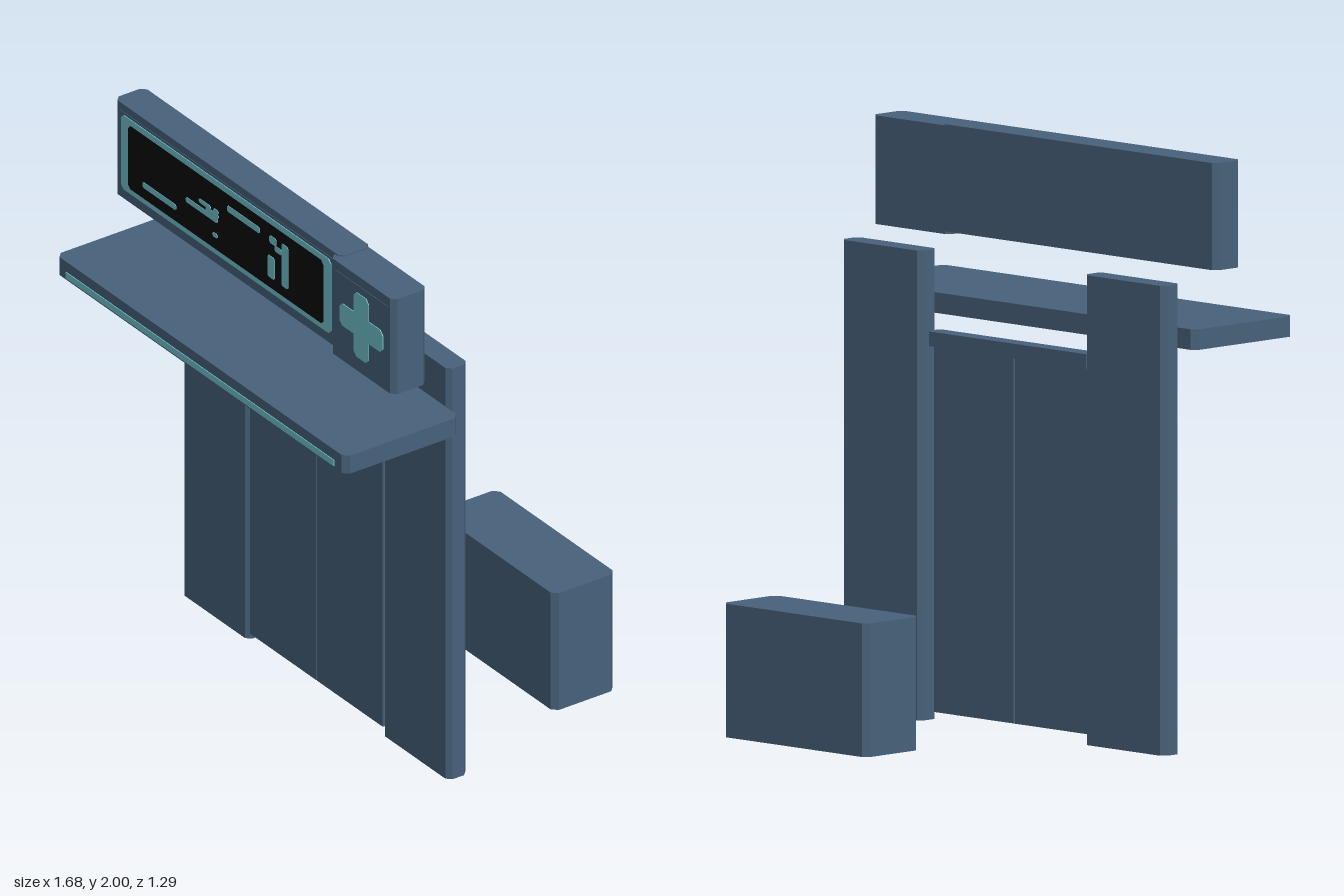
import * as THREE from 'three';

const mat = (name, color) => {
  const m = new THREE.MeshStandardMaterial({ color });
  m.name = name;
  return m;
};

export function createModel() {
  const body = mat('slate blue', 0x47617a);
  const glow = mat('light cyan', 0x70c2ce);
  const black = mat('black', 0x0a0a0a);
  const model = new THREE.Group();

  const add = (name, geometry, material) => {
    const mesh = new THREE.Mesh(geometry, material);
    mesh.name = name;
    model.add(mesh);
    return mesh;
  };

  // Rectangle with cut corners
  const cutRect = (x0, x1, y0, y1, c) => new THREE.Shape([
    [x0 + c, y0], [x1 - c, y0], [x1, y0 + c], [x1, y1 - c],
    [x1 - c, y1], [x0 + c, y1], [x0, y1 - c], [x0, y0 + c],
  ].map(([x, y]) => new THREE.Vector2(x, y)));

  // Upright block whose vertical edges are chamfered
  const block = (name, x0, x1, y0, y1, z0, z1, c = 0.018) => {
    const g = new THREE.ExtrudeGeometry(cutRect(x0, x1, -z1, -z0, c), { depth: y1 - y0, bevelEnabled: false });
    g.rotateX(-Math.PI / 2).translate(0, y0, 0);
    return add(name, g, body);
  };

  // Thin plate facing the front
  const plate = (name, shape, z, material, depth = 0.003) => {
    const g = new THREE.ExtrudeGeometry(shape, { depth, bevelEnabled: false });
    g.translate(0, 0, z);
    return add(name, g, material);
  };

  // Entrance: two pillars, two door leaves and a header
  block('rightPillar', -0.775, -0.39, 0, 1.6, 0.083, 0.166);
  block('leftPillar', 0.385, 0.77, 0, 1.6, 0.083, 0.166);
  block('rightDoor', -0.388, -0.003, 0.025, 1.275, 0.142, 0.16, 0.002);
  block('leftDoor', 0.0, 0.382, 0.025, 1.275, 0.142, 0.16, 0.002);
  block('header', -0.39, 0.385, 1.275, 1.325, 0.11, 0.174, 0.012);

  // Canopy with a light strip along its front edge
  block('canopy', -0.84, 0.835, 1.38, 1.45, 0.166, 0.64, 0.02);
  plate('canopyLight', cutRect(-0.78, 0.772, 1.387, 1.411, 0), 0.64, glow);

  // Free-standing block behind the entrance
  block('rearBlock', -0.09, 0.6, 0, 0.455, -0.65, -0.393, 0.02);

  // Long sign: frame, dark screen and display marks
  block('signBox', -0.81, 0.503, 1.635, 2, 0.296, 0.42);
  plate('signPanel', cutRect(-0.775, 0.46, 1.664, 1.972, 0), 0.42, body, 0.002);
  plate('signFrame', cutRect(-0.765, 0.452, 1.674, 1.963, 0.015), 0.422, glow);
  plate('signScreen', cutRect(-0.72, 0.41, 1.695, 1.94, 0.012), 0.425, black, 0.002);
  const marks = [
    [-0.635, -0.44, 1.738, 1.76],
    [-0.385, -0.2, 1.8, 1.82],
    [-0.27, -0.195, 1.818, 1.836],
    [-0.31, -0.24, 1.834, 1.85],
    [-0.225, -0.195, 1.834, 1.852],
    [-0.23, -0.2, 1.74, 1.757],
    [-0.145, 0.045, 1.876, 1.9],
    [0.09, 0.13, 1.735, 1.82],
    [0.17, 0.208, 1.735, 1.9],
    [0.13, 0.172, 1.85, 1.872],
    [0.1, 0.14, 1.87, 1.9],
  ];
  for (const [x0, x1, y0, y1] of marks) {
    plate('displayMark', cutRect(x0, x1, y0, y1, 0.006), 0.427, glow, 0.002);
  }

  // Square sign with a plus symbol
  block('crossBox', 0.47, 0.837, 1.625, 1.995, 0.3, 0.443);
  plate('crossPanel', cutRect(0.503, 0.812, 1.66, 1.96, 0), 0.443, body, 0.002);
  const cx = 0.658, cy = 1.807;
  const a = 0.043, r = 0.125, c = 0.016;
  // One arm of the plus, turned four times
  const arm = [[a, a], [a, r - c], [a - c, r], [c - a, r], [-a, r - c]];
  const points = [];
  for (let i = 0; i < 4; i++) {
    const t = i * Math.PI / 2;
    for (const [x, y] of arm) {
      points.push(new THREE.Vector2(
        cx + x * Math.cos(t) - y * Math.sin(t),
        cy + x * Math.sin(t) + y * Math.cos(t)));
    }
  }
  plate('cross', new THREE.Shape(points), 0.445, glow);

  return model;
}
